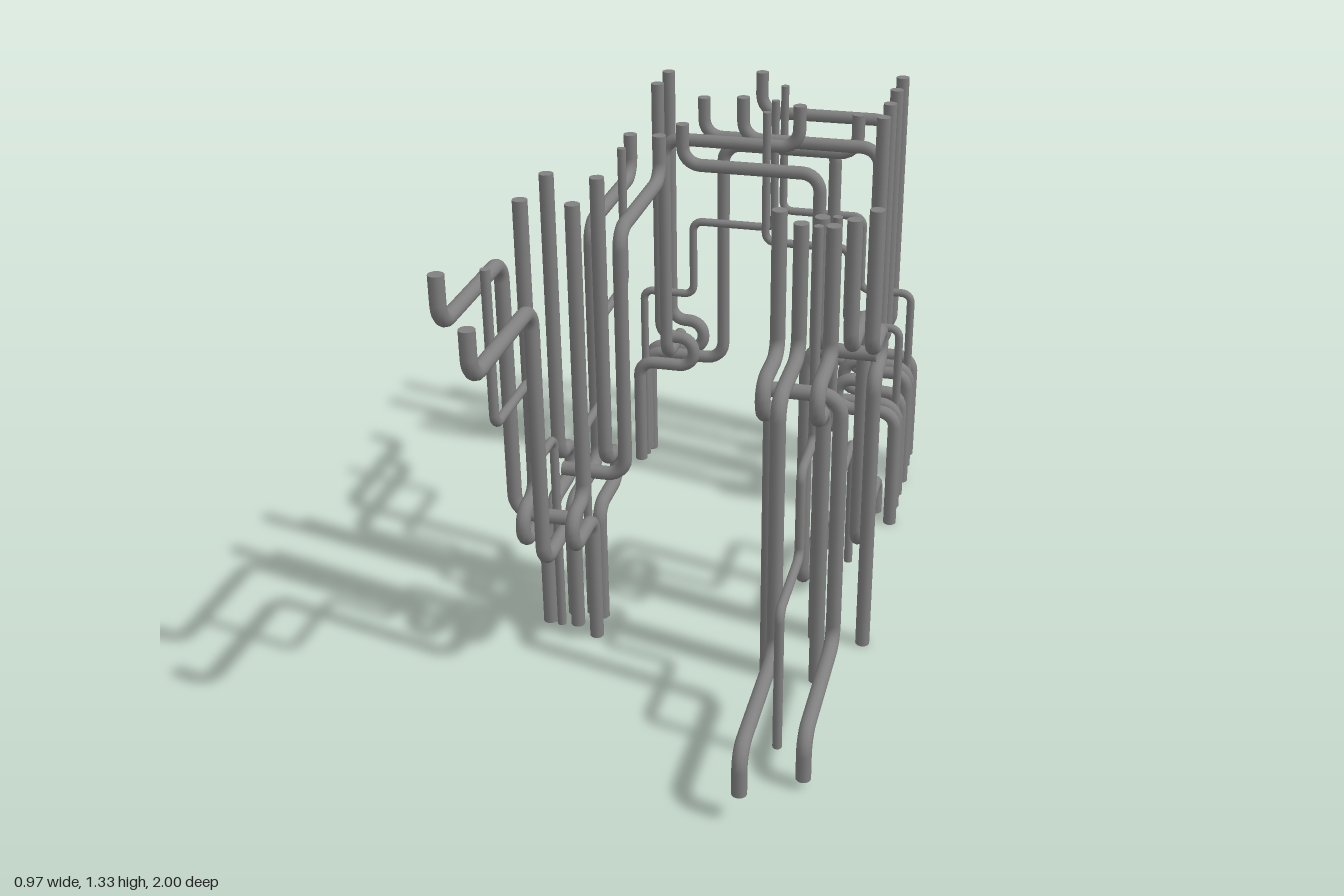
import * as THREE from 'three';
import { mergeGeometries } from 'three/addons/utils/BufferGeometryUtils.js';

const material = new THREE.MeshStandardMaterial({ color: 0x808080 });
const HEIGHT = 1.33;

// Path of straight runs joined by round elbows; one sample per ring of the tube
class PipePath extends THREE.Curve {
  constructor(corners, bend) {
    super();
    const p = corners.map((c) => new THREE.Vector3(...c));
    const dir = (i) => p[i + 1].clone().sub(p[i]).normalize();
    this.points = [p[0]];
    this.tangents = [dir(0)];
    for (let i = 1; i < p.length - 1; i++) {
      const a = dir(i - 1), b = dir(i);
      const start = p[i].clone().addScaledVector(a, -bend);
      for (let k = 0; k <= 6; k++) {
        const t = (k / 6) * Math.PI / 2, s = Math.sin(t), c = Math.cos(t);
        this.points.push(start.clone().addScaledVector(a, bend * s).addScaledVector(b, bend * (1 - c)));
        this.tangents.push(a.clone().multiplyScalar(c).addScaledVector(b, s));
      }
    }
    this.points.push(p[p.length - 1]);
    this.tangents.push(dir(p.length - 2));
    this.count = this.points.length - 1;
  }
  getPointAt(u, target = new THREE.Vector3()) {
    return target.copy(this.points[Math.round(u * this.count)]);
  }
  getTangentAt(u, target = new THREE.Vector3()) {
    return target.copy(this.tangents[Math.round(u * this.count)]);
  }
}

// Round pipe with flat closed ends
function pipeGeometry(corners, radius, bend) {
  const path = new PipePath(corners, bend);
  const cap = (u, sign) => {
    const outward = path.getTangentAt(u).multiplyScalar(sign);
    const turn = new THREE.Quaternion().setFromUnitVectors(new THREE.Vector3(0, 0, 1), outward);
    const end = path.getPointAt(u);
    return new THREE.CircleGeometry(radius, 12).applyQuaternion(turn).translate(end.x, end.y, end.z);
  };
  return mergeGeometries([
    new THREE.TubeGeometry(path, path.count, radius, 12, false), cap(0, -1), cap(1, 1),
  ]);
}

// Riser with a side loop above its foot
const loopRiser = (x, foot) => pipeGeometry([
  [x, foot, -0.095], [x, 0.39, -0.095], [x, 0.39, 0.088],
  [x, 0.49, 0.088], [x, 0.49, -0.02], [x, HEIGHT, -0.02],
], 0.02, 0.048);

// One cluster: feet at the bottom, arms reaching toward +z at the top
const clusterParts = {
  longArm: pipeGeometry([
    [0, 0.03, -0.095], [0, 0.39, -0.095], [0, 0.39, 0.168],
    [0, 1.125, 0.168], [0, 1.125, 0.588], [0, 1.25, 0.588],
  ], 0.02, 0.055),
  shortArm: pipeGeometry([
    [0.055, 0.44, 0.01], [-0.13, 0.44, 0.01], [-0.13, 1.175, 0.01],
    [-0.13, 1.175, 0.43], [-0.13, 1.305, 0.43],
  ], 0.02, 0.055),
  thinArm: pipeGeometry([
    [-0.045, 0.03, -0.085], [-0.045, 0.63, -0.085], [-0.045, 0.63, 0.08],
    [-0.045, 0.88, 0.08], [-0.045, 0.88, 0.34], [-0.045, 1.29, 0.34],
  ], 0.0125, 0.03),
  innerLoopRiser: loopRiser(0.055, 0),
  outerLoopRiser: loopRiser(-0.082, 0.03),
};

// name, x, z, turn about y, upside down
const placements = [
  ['rightFrontCluster', -0.335, 0.395, 0, false],
  ['rightMiddleCluster', -0.36, 0.15, Math.PI, false],
  ['leftFrontCluster', 0.285, 0.395, 0, true],
  ['leftMiddleCluster', 0.41, 0.15, Math.PI, true],
  ['rightBackCluster', -0.325, -0.78, Math.PI / 2, false],
  ['leftBackClusterNear', 0.353, -0.568, -Math.PI / 2, false],
  ['leftBackClusterFar', 0.353, -0.85, -Math.PI / 2, false],
];

export function createModel() {
  const model = new THREE.Group();
  model.name = 'pipeClusters';
  for (const [name, x, z, turn, inverted] of placements) {
    const cluster = new THREE.Group();
    cluster.name = name;
    for (const [part, geometry] of Object.entries(clusterParts)) {
      const mesh = new THREE.Mesh(geometry, material);
      mesh.name = part;
      cluster.add(mesh);
    }
    cluster.position.set(x, inverted ? HEIGHT : 0, z);
    cluster.rotation.set(0, turn, inverted ? Math.PI : 0);
    model.add(cluster);
  }
  return model;
}
